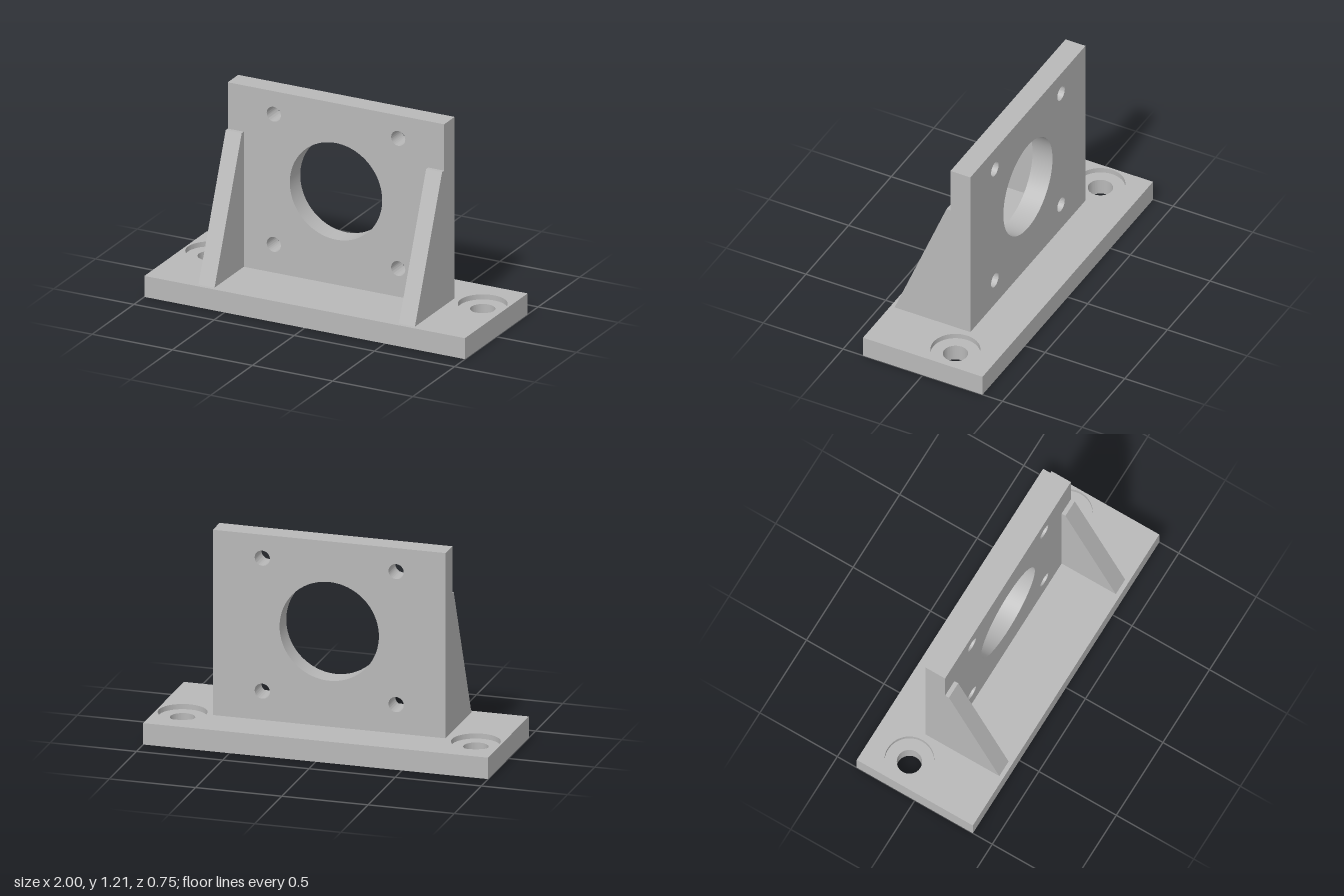
import * as THREE from 'three';
import { toCreasedNormals } from 'three/addons/utils/BufferGeometryUtils.js';

const BASE_H = 0.125, BORE_DEPTH = 0.03;

// Rectangle with round holes, each hole given as [x, y, radius]
function plateShape(x0, y0, x1, y1, holes) {
  const shape = new THREE.Shape([
    new THREE.Vector2(x0, y0), new THREE.Vector2(x1, y0),
    new THREE.Vector2(x1, y1), new THREE.Vector2(x0, y1),
  ]);
  for (const [x, y, r] of holes) {
    shape.holes.push(new THREE.Path().absarc(x, y, r, 0, Math.PI * 2, true));
  }
  return shape;
}

// Straight extrusion with smooth hole walls and sharp edges
function extrude(shape, depth) {
  const geometry = new THREE.ExtrudeGeometry(shape, { depth, bevelEnabled: false, curveSegments: 48 });
  return toCreasedNormals(geometry, 0.5);
}

export function createModel() {
  const model = new THREE.Group();
  model.name = 'motorMountBracket';
  const metal = new THREE.MeshStandardMaterial({ color: 0xb8b8b8 });
  metal.name = 'grey metal';

  const add = (name, geometry, parent = model) => {
    const mesh = new THREE.Mesh(geometry, metal);
    mesh.name = name;
    parent.add(mesh);
    return mesh;
  };

  // Base: lower layer with bolt holes, upper layer with counterbores
  const base = new THREE.Group();
  base.name = 'base';
  model.add(base);
  const baseLayer = (name, radius, y, height) => {
    const holes = [-0.85, 0.85].map((x) => [x, 0.125, radius]);
    const geometry = extrude(plateShape(-1, -0.375, 1, 0.375, holes), height);
    add(name, geometry.rotateX(-Math.PI / 2).translate(0, y, 0), base);
  };
  baseLayer('boltHoleLayer', 0.07, 0, BASE_H - BORE_DEPTH);
  baseLayer('counterboreLayer', 0.138, BASE_H - BORE_DEPTH, BORE_DEPTH);

  // Upright plate with a central opening and four screw holes
  const cy = 0.681, s = 0.388;
  const holes = [[0, cy, 0.288]];
  for (const sx of [-1, 1]) for (const sy of [-1, 1]) holes.push([sx * s, cy + sy * s, 0.044]);
  const upright = extrude(plateShape(-0.675, BASE_H, 0.675, 1.206, holes), 0.125);
  add('uprightPlate', upright.translate(0, 0, -0.125));

  // Side gussets, profile drawn as (z, y)
  const profile = new THREE.Shape([
    new THREE.Vector2(0, BASE_H), new THREE.Vector2(0.35, BASE_H),
    new THREE.Vector2(0.025, 0.93), new THREE.Vector2(0, 0.93),
  ]);
  const gusset = extrude(profile, 0.1).rotateY(-Math.PI / 2).translate(0.05, 0, 0);
  for (const side of [-1, 1]) {
    add(side > 0 ? 'leftGusset' : 'rightGusset', gusset).position.x = side * 0.625;
  }
  return model;
}
